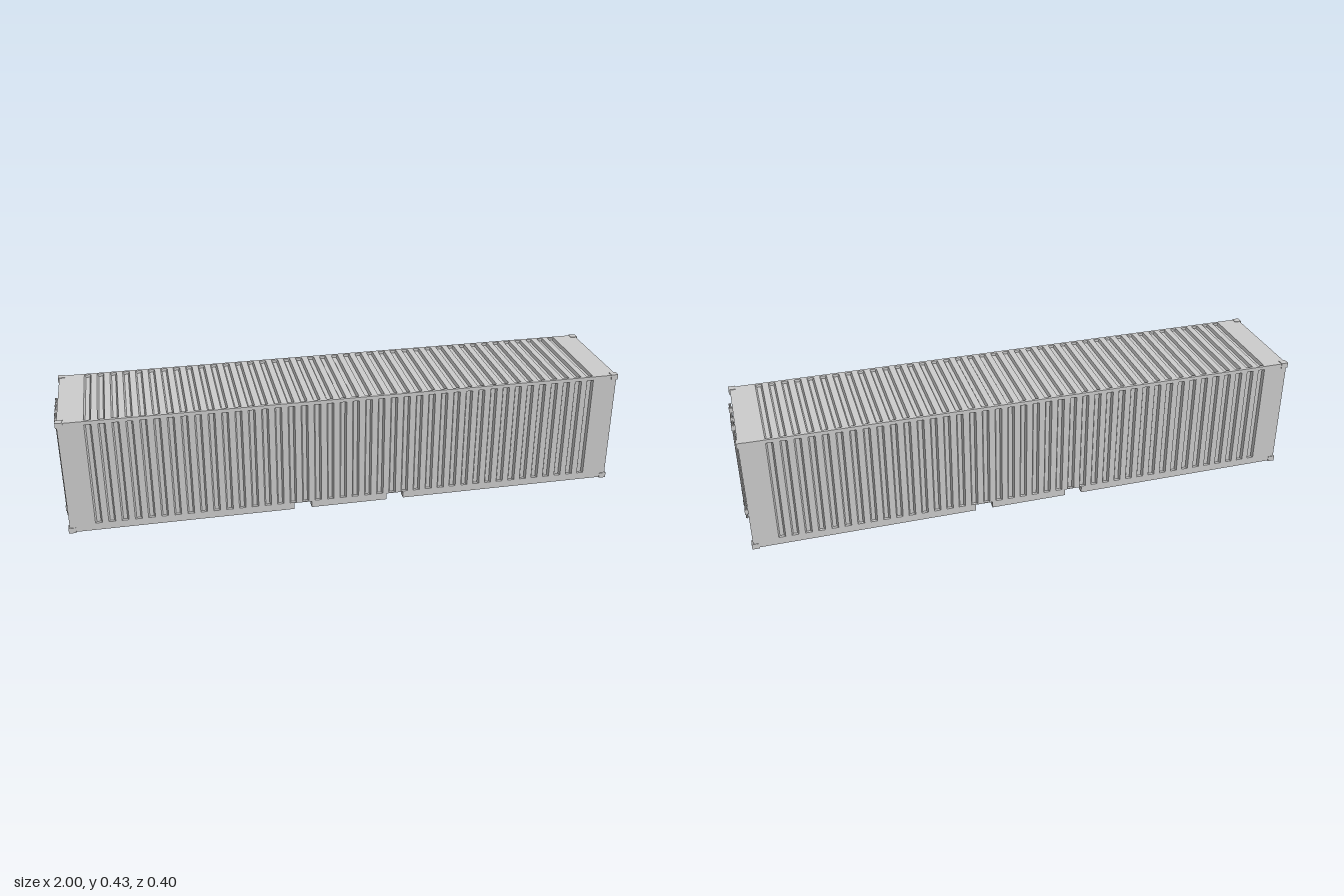
import * as THREE from 'three';

const material = new THREE.MeshStandardMaterial({ color: 0xcccccc, flatShading: true });
const X = new THREE.Vector3(1, 0, 0), Y = new THREE.Vector3(0, 1, 0), Z = new THREE.Vector3(0, 0, 1);
const SKIN = 0.012;                                  // thickness of walls, roof and doors
const END = 0.987, SIDE = 0.198, TOP = 0.423, FLOOR = 0.03;

function add(parent, name, geometry) {
  const mesh = new THREE.Mesh(geometry, material);
  mesh.name = name;
  parent.add(mesh);
  return mesh;
}

// Box given by its lower and upper corner
function box(parent, name, [x0, y0, z0], [x1, y1, z1]) {
  const mesh = add(parent, name, new THREE.BoxGeometry(x1 - x0, y1 - y0, z1 - z0));
  mesh.position.set((x0 + x1) / 2, (y0 + y1) / 2, (z0 + z1) / 2);
  return mesh;
}

// Plate running from u0 to u1 with sloped grooves pressed into its outer face.
// u: direction across the grooves, out: outward normal, origin: point on the outer face
function groovedPlate(parent, name, { u0, u1, grooves, depth, slope, length, u, out, origin }) {
  const shape = new THREE.Shape();
  shape.moveTo(u0, -SKIN);
  shape.lineTo(u1, -SKIN);
  shape.lineTo(u1, 0);
  for (const [a, b] of [...grooves].reverse()) {
    shape.lineTo(b, 0);
    shape.lineTo(b - slope, -depth);
    shape.lineTo(a + slope, -depth);
    shape.lineTo(a, 0);
  }
  shape.lineTo(u0, 0);
  const geometry = new THREE.ExtrudeGeometry(shape, { depth: length, bevelEnabled: false });
  geometry.translate(0, 0, -length / 2);
  const along = new THREE.Vector3().crossVectors(u, out);
  geometry.applyMatrix4(new THREE.Matrix4().makeBasis(u, out, along).setPosition(...origin));
  return add(parent, name, geometry);
}

// Door end facing +x; flip mirrors the rod layout for the rotated copy
function doorEnd(name, flip) {
  const end = new THREE.Group();
  end.name = name;
  const inner = END - SKIN;

  // Pressed door panels between flat posts
  const grooves = [[0.108, 0.13], [0.206, 0.228], [0.303, 0.325]];
  for (const s of [-1, 1]) {
    groovedPlate(end, 'doorPanel', {
      u0: FLOOR, u1: TOP, grooves, depth: 0.008, slope: 0.004, length: 0.16,
      u: Y, out: X, origin: [END, 0, s * 0.095],
    });
    const z = [s * 0.175, s * SIDE].sort((a, b) => a - b);
    box(end, 'doorPost', [inner, FLOOR, z[0]], [END, TOP, z[1]]);
  }
  box(end, 'doorCentre', [inner, FLOOR, -0.015], [END, TOP, 0.015]);

  // Locking rods with their brackets
  for (const z of [0.096, 0.028, -0.027].map((v) => v * flip)) {
    const rod = add(end, 'lockingRod', new THREE.CylinderGeometry(0.004, 0.004, 0.398, 8));
    rod.position.set(0.994, 0.214, z);
    for (const y of [0.042, 0.388])
      box(end, 'rodBracket', [0.985, y - 0.009, z - 0.005], [1, y + 0.009, z + 0.005]);
  }

  // Corner castings
  for (const s of [-1, 1])
    for (const [y0, y1] of [[0, 0.02], [0.406, 0.425]]) {
      const z = [s * 0.175, s * 0.2].sort((a, b) => a - b);
      box(end, 'cornerCasting', [0.967, y0, z[0]], [0.992, y1, z[1]]);
    }
  return end;
}

export function createModel() {
  const model = new THREE.Group();
  model.name = 'shippingContainer';
  const inner = END - SKIN;

  // Solid core behind the skins
  box(model, 'core', [-inner, FLOOR, -SIDE + SKIN], [inner, TOP - SKIN, SIDE - SKIN]);

  // Corrugated side walls and roof
  const grooves = [];
  for (let i = 0; i < 40; i++) {
    const c = (i - 19.5) * 0.0455;
    grooves.push([c - 0.012, c + 0.012]);
  }
  const ribs = { u0: -inner, u1: inner, grooves, depth: 0.01, slope: 0.005, u: X };
  const wallTop = 0.41;
  for (const s of [-1, 1]) {
    groovedPlate(model, s > 0 ? 'frontWall' : 'backWall', {
      ...ribs, length: wallTop - FLOOR, out: Z.clone().multiplyScalar(s),
      origin: [0, (wallTop + FLOOR) / 2, s * SIDE],
    });
    const z = [s * 0.188, s * SIDE].sort((a, b) => a - b);
    box(model, 'topRail', [-inner, wallTop, z[0]], [inner, TOP, z[1]]);
  }
  groovedPlate(model, 'roof', { ...ribs, length: 0.376, out: Y, origin: [0, TOP, 0] });

  // Floor slab above the base
  box(model, 'floorSlab', [-END, 0.027, -SIDE], [END, FLOOR, SIDE]);

  // Base in three sections, parted by fork pockets, with two lengthwise channels
  const section = new THREE.Shape([
    [-SIDE, 0.003], [-0.172, 0.003], [-0.172, 0.018], [-0.14, 0.018], [-0.14, 0.003],
    [0.14, 0.003], [0.14, 0.018], [0.172, 0.018], [0.172, 0.003], [SIDE, 0.003],
    [SIDE, 0.027], [-SIDE, 0.027],
  ].map(([z, y]) => new THREE.Vector2(z, y)));
  for (const [x0, x1] of [[-END, -0.201], [-0.138, 0.138], [0.201, END]]) {
    const geometry = new THREE.ExtrudeGeometry(section, { depth: x1 - x0, bevelEnabled: false });
    geometry.rotateY(Math.PI / 2).translate(x0, 0, 0);
    add(model, 'baseSection', geometry);
  }

  // Doors at both ends
  model.add(doorEnd('leftEnd', 1));
  const other = doorEnd('rightEnd', -1);
  other.rotation.y = Math.PI;
  model.add(other);
  return model;
}
